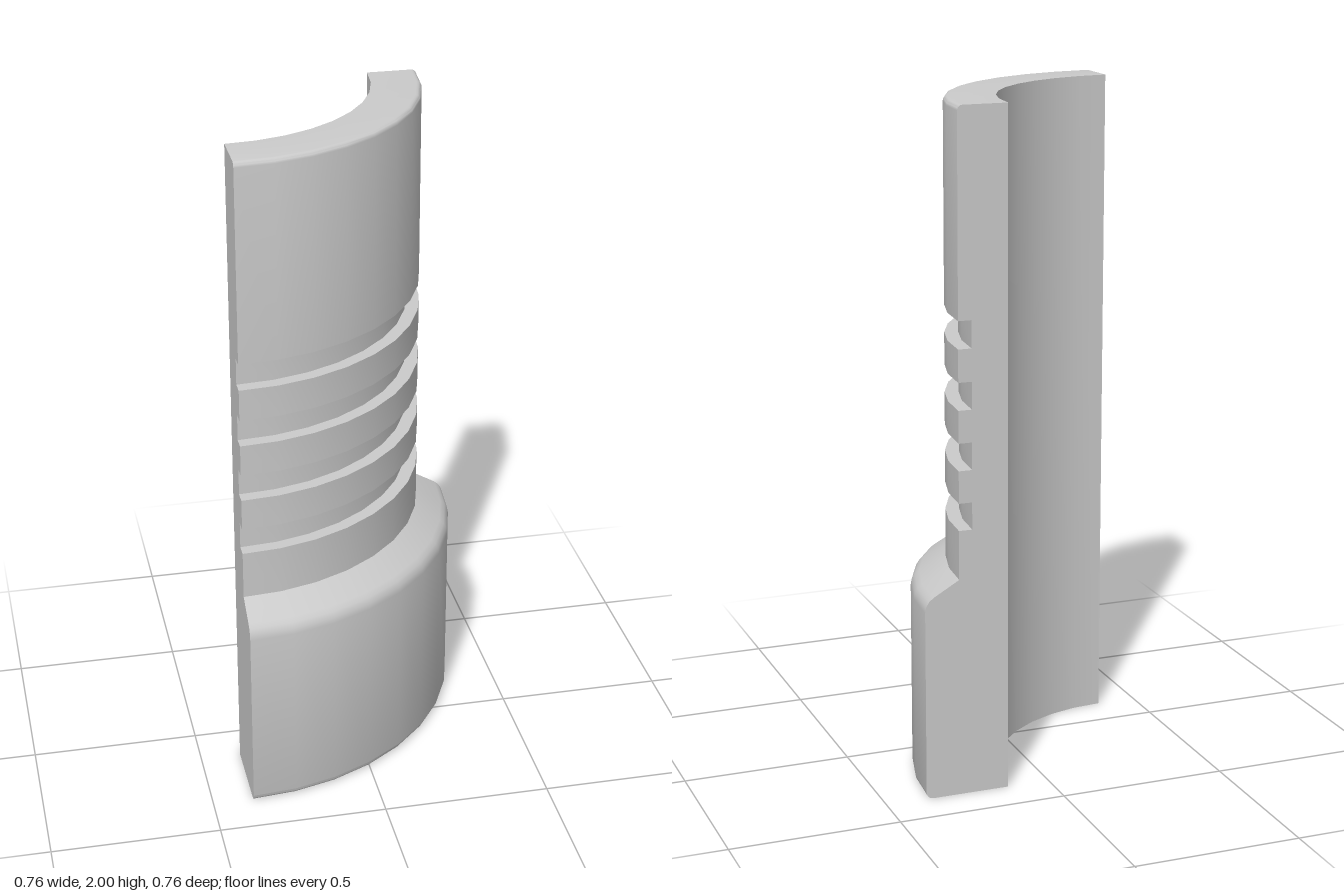
import * as THREE from 'three';
import { mergeGeometries, toCreasedNormals } from 'three/addons/utils/BufferGeometryUtils.js';

const INNER = 0.507, NECK = 0.655, GROOVE = 0.615, BASE = 0.758;

// Points along a rounded corner, angles in degrees
function arc(cx, cy, r, from, to, steps) {
  const pts = [];
  for (let i = 0; i <= steps; i++) {
    const a = THREE.MathUtils.degToRad(from + (to - from) * i / steps);
    pts.push(new THREE.Vector2(cx + r * Math.cos(a), cy + r * Math.sin(a)));
  }
  return pts;
}

// Closed wall section (radius, height), counter-clockwise
function wallProfile() {
  const p = (r, y) => new THREE.Vector2(r, y);
  const pts = [p(INNER, 0)];
  // thick base with rounded foot and sloping shoulder
  pts.push(...arc(BASE - 0.02, 0.02, 0.02, -90, 0, 4));
  pts.push(...arc(BASE - 0.05, 0.567, 0.05, 0, 60, 3));
  pts.push(p(NECK, 0.655));
  // four square grooves around the neck
  for (let i = 0; i < 4; i++) {
    const y0 = 0.8 + i * 0.175, y1 = y0 + 0.08;
    pts.push(p(NECK, y0), p(GROOVE, y0), p(GROOVE, y1), p(NECK, y1));
  }
  // rounded rim
  pts.push(...arc(NECK - 0.015, 1.985, 0.015, 0, 90, 4));
  pts.push(p(INNER, 2));
  return pts;
}

export function createModel() {
  const group = new THREE.Group();
  group.name = 'quarterSleeve';
  const material = new THREE.MeshStandardMaterial({ color: 0xcccccc });
  const profile = wallProfile();

  // quarter-turn sleeve wall
  const wall = new THREE.LatheGeometry([...profile, profile[0].clone()], 9, 0, Math.PI / 2);

  // flat cut faces at both ends of the sweep
  const leftCut = new THREE.ShapeGeometry(new THREE.Shape(profile));
  const frontCut = leftCut.clone().rotateY(-Math.PI / 2);
  leftCut.index.array.reverse();

  const parts = { sleeveWall: wall, cutFaces: mergeGeometries([leftCut, frontCut]) };
  for (const [name, geometry] of Object.entries(parts)) {
    const mesh = new THREE.Mesh(toCreasedNormals(geometry, 0.5), material);
    mesh.name = name;
    mesh.position.set(-BASE / 2, 0, -BASE / 2);
    group.add(mesh);
  }
  return group;
}
